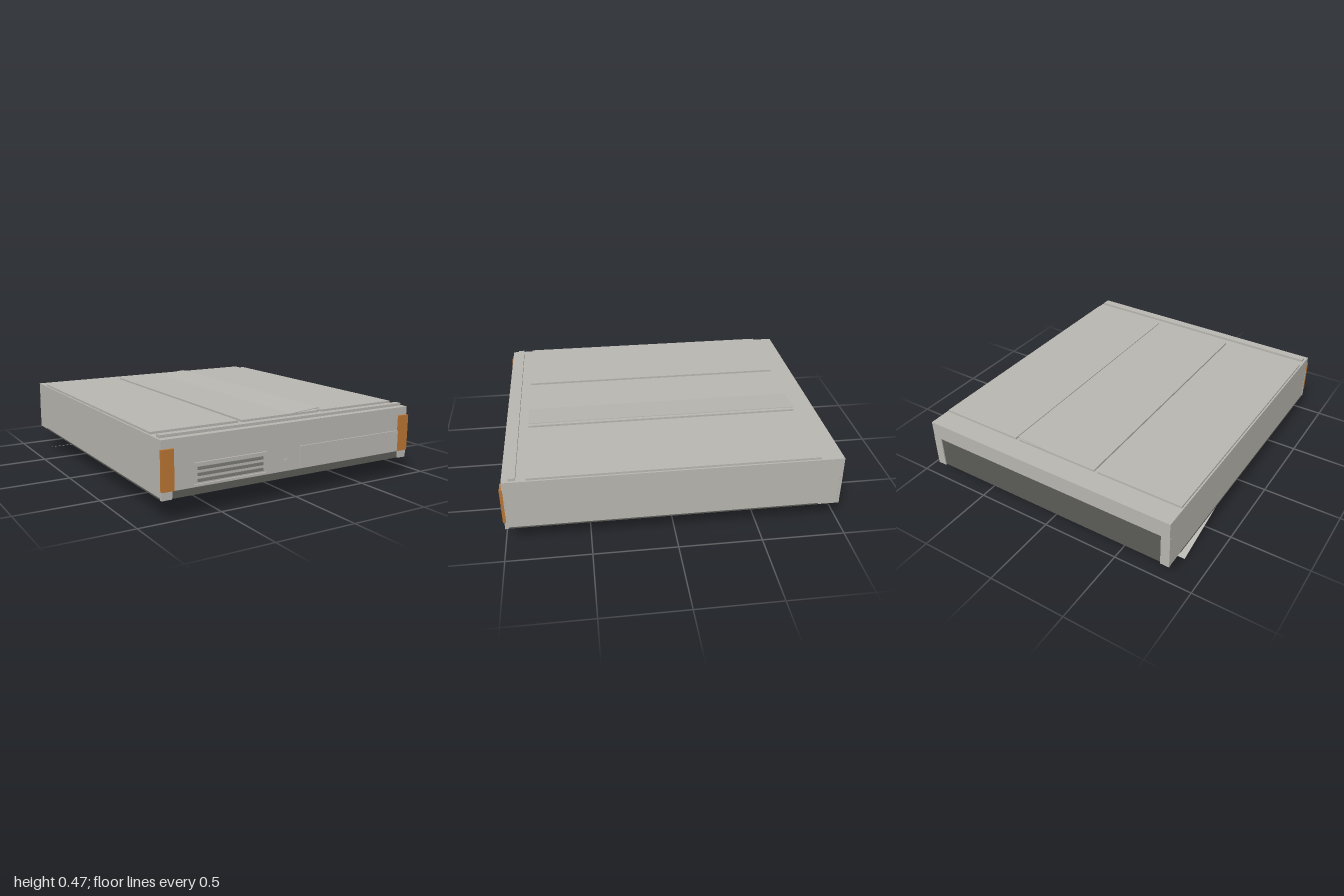
import * as THREE from 'three';

const mat = (name, color) => {
  const m = new THREE.MeshStandardMaterial({ color });
  m.name = name;
  return m;
};

export function createModel() {
  const root = new THREE.Group();
  root.name = 'lowVehicleDeck';
  const grey = mat('bodyGrey', 0xb8b6b0);
  const dark = mat('darkTrim', 0x5b5b56);
  const mid = mat('ventGrey', 0x7b7b77);
  const orange = mat('markerOrange', 0xb97533);

  // Box given by its minimum and maximum on each axis
  const box = (name, m, x0, x1, y0, y1, z0, z1) => {
    const mesh = new THREE.Mesh(new THREE.BoxGeometry(x1 - x0, y1 - y0, z1 - z0), m);
    mesh.position.set((x0 + x1) / 2, (y0 + y1) / 2, (z0 + z1) / 2);
    mesh.name = name;
    root.add(mesh);
    return mesh;
  };
  // The same box on both sides of x = 0
  const pair = (name, m, x0, x1, ...rest) => {
    box(name + 'Left', m, x0, x1, ...rest);
    box(name + 'Right', m, -x1, -x0, ...rest);
  };

  // Shell with a shallow well open underneath
  box('roof', grey, -0.855, 0.855, 0.33, 0.44, -1, 0.985);
  pair('sideWall', grey, 0.77, 0.855, 0.12, 0.33, -0.988, 0.985);
  box('frontWall', grey, -0.77, 0.77, 0.12, 0.33, 0.88, 0.985);
  box('backWall', grey, -0.77, 0.77, 0.12, 0.33, -0.988, -0.88);
  box('backPanel', dark, -0.8, 0.8, 0.125, 0.33, -0.993, -0.988);
  pair('backPost', grey, 0.8, 0.857, 0.12, 0.33, -1, -0.985);
  pair('sideSkirt', dark, 0.855, 0.857, 0.12, 0.128, -0.87, 0.97);

  // Front face
  box('frontLowerStrip', dark, -0.79, 0.79, 0.12, 0.16, 0.985, 0.988);
  pair('frontPost', grey, 0.795, 0.857, 0.118, 0.33, 0.975, 0.992);
  pair('cornerMarker', orange, 0.785, 0.858, 0.165, 0.39, 0.982, 1);
  box('frontHatch', grey, 0.03, 0.785, 0.165, 0.295, 0.985, 0.993);
  box('frontButton', grey, -0.08, -0.06, 0.215, 0.232, 0.985, 0.995);
  for (const y of [0.165, 0.283]) box('ventBar', grey, -0.66, -0.2, y, y + 0.012, 0.985, 0.995);
  for (const y of [0.187, 0.22, 0.253]) box('ventSlat', mid, -0.64, -0.225, y, y + 0.017, 0.985, 0.992);

  // Top bar and the three flat roof panels
  box('topBar', grey, -0.84, 0.84, 0.44, 0.456, 0.905, 0.945);
  for (const [x0, x1] of [[-0.845, -0.3], [-0.275, 0.273], [0.295, 0.845]])
    box('topPanel', grey, x0, x1, 0.44, 0.453, -0.86, 0.845);

  // Slightly raised leaf over the middle panel
  const leaf = box('raisedLeaf', grey, -0.274, 0.274, 0.444, 0.448, -0.86, 0.845);
  leaf.rotation.z = 0.083;

  // Inner divider and the long ramp hanging out of the well
  box('innerDivider', grey, 0.012, 0.02, 0.12, 0.33, -0.88, 0.765);
  const ramp = box('ramp', grey, -0.85, -0.3, 0, 0.001, -0.848, 0.848);
  ramp.position.set(-0.575, 0.219, 0.02);
  ramp.rotation.x = -Math.atan2(0.436, 1.64);

  return root;
}
